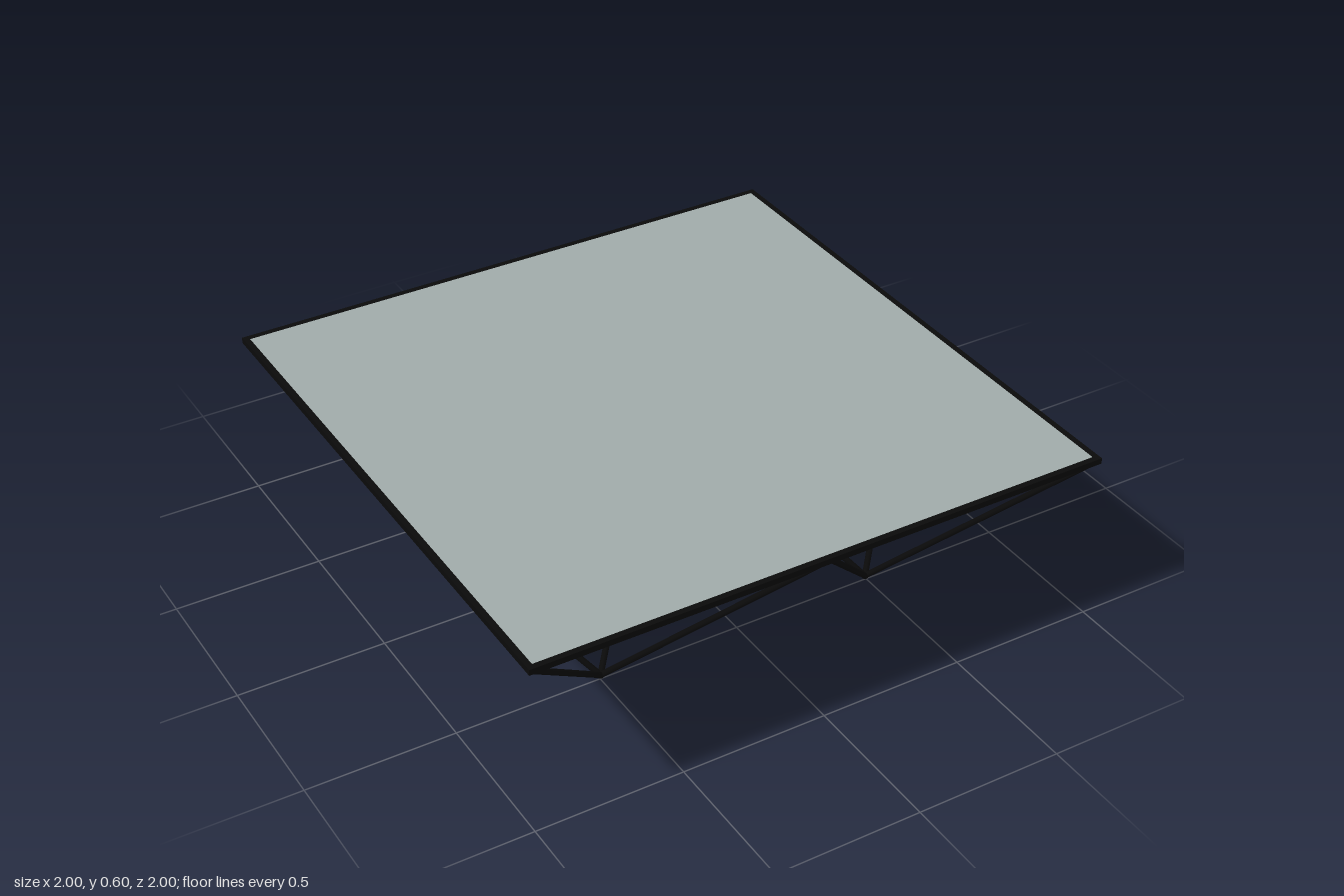
import * as THREE from 'three';

const R = 0.01;      // rod radius
const TOP = 0.59;    // height of the frame's centre line
const EDGE = 0.99;   // centre line of the outer frame
const steel = new THREE.MeshStandardMaterial({ color: 0x0a0a0a });
const slate = new THREE.MeshStandardMaterial({ color: 0xa0abaa });

// Round rod between two points
function rod(a, b, name) {
  const dir = b.clone().sub(a);
  const mesh = new THREE.Mesh(new THREE.CylinderGeometry(R, R, dir.length(), 12), steel);
  mesh.position.copy(a).lerp(b, 0.5);
  mesh.quaternion.setFromUnitVectors(new THREE.Vector3(0, 1, 0), dir.normalize());
  mesh.name = name;
  return mesh;
}

// Inverted pyramid of four rods meeting at a foot
function pyramidLeg(sx, sz) {
  const leg = new THREE.Group();
  leg.name = 'pyramidLeg';
  const foot = new THREE.Vector3(sx * 0.497, 0.012, sz * 0.497);
  for (const outerX of [0, 1]) {
    for (const outerZ of [0, 1]) {
      // the rods at the table's centre stand slightly apart
      const inner = outerX || outerZ ? 0.003 : 0.012;
      const top = new THREE.Vector3(sx * (outerX ? EDGE : inner), TOP - 0.002, sz * (outerZ ? EDGE : inner));
      leg.add(rod(foot, top, 'legRod'));
    }
  }
  const tip = new THREE.Mesh(new THREE.SphereGeometry(0.012, 12, 8), steel);
  tip.position.copy(foot);
  tip.name = 'foot';
  leg.add(tip);
  return leg;
}

export function createModel() {
  const table = new THREE.Group();
  table.name = 'table';

  // Flat square top, set flush in the frame
  const top = new THREE.Mesh(new THREE.BoxGeometry(1.964, 0.018, 1.964), slate);
  top.position.y = TOP;
  top.name = 'tableTop';
  table.add(top);

  // Rim around the top
  for (const s of [-1, 1]) {
    const alongX = new THREE.Mesh(new THREE.BoxGeometry(2, 2 * R, 2 * R), steel);
    alongX.position.set(0, TOP, s * EDGE);
    const alongZ = new THREE.Mesh(new THREE.BoxGeometry(2 * R, 2 * R, 2 - 4 * R), steel);
    alongZ.position.set(s * EDGE, TOP, 0);
    alongX.name = alongZ.name = 'frameBar';
    table.add(alongX, alongZ);
  }

  // One pyramid under each quarter
  for (const sx of [-1, 1]) for (const sz of [-1, 1]) table.add(pyramidLeg(sx, sz));
  return table;
}
